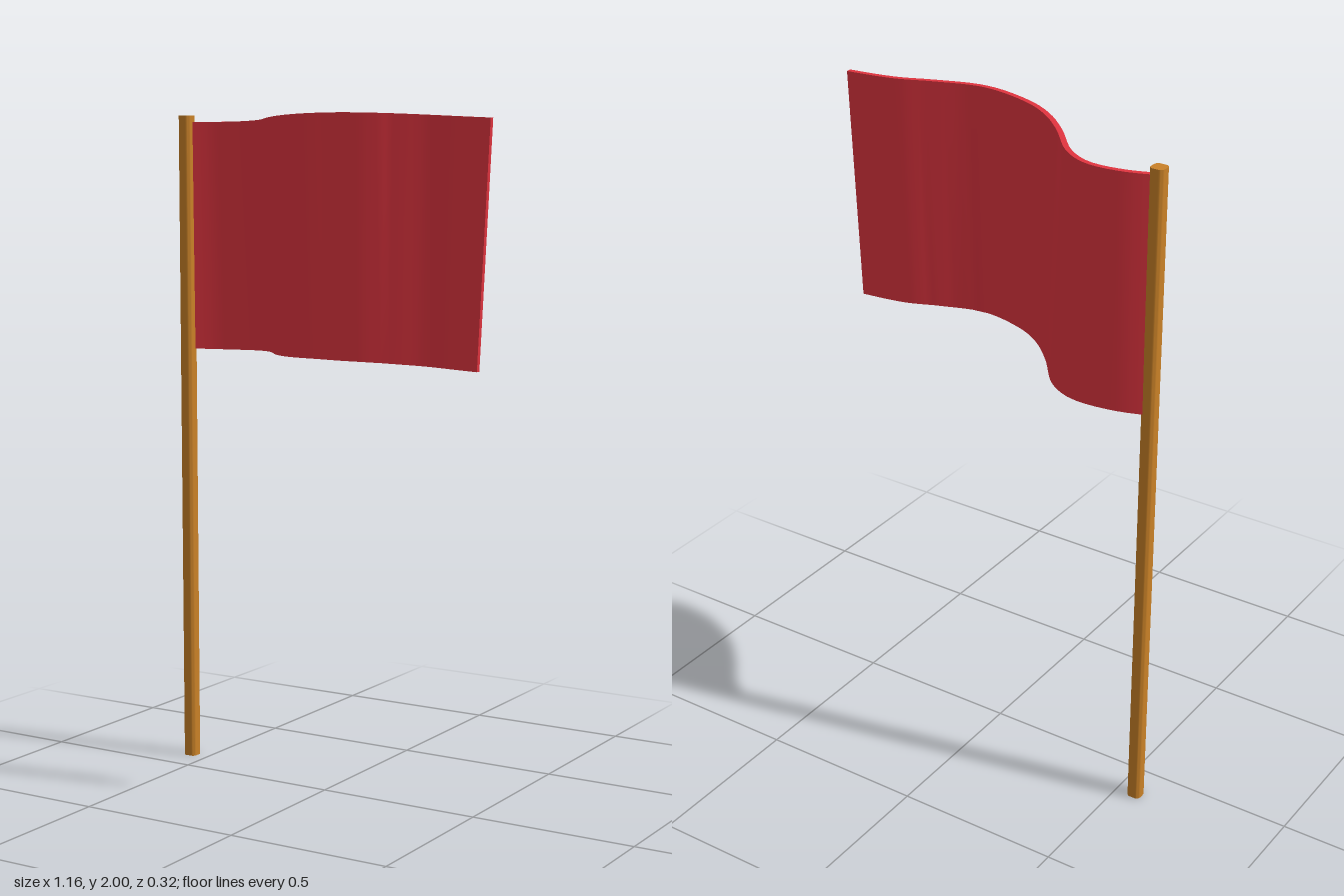
import * as THREE from 'three';
import { toCreasedNormals } from 'three/addons/utils/BufferGeometryUtils.js';

const POLE_X = -0.56, POLE_Z = -0.11, POLE_HALF = 0.021, POLE_ROUND = 0.013;
const FLAG_TOP = 2.0, FLAG_HEIGHT = 0.69, FLAG_THICKNESS = 0.016;

// Extrude a plan outline (x, -z) upwards along y
function extrudeUp(shape, height, curveSegments = 4) {
  const geometry = new THREE.ExtrudeGeometry(shape, { depth: height, bevelEnabled: false, curveSegments });
  return geometry.rotateX(-Math.PI / 2);
}

// Square pole with rounded corners
function createPole() {
  const h = POLE_HALF, r = POLE_ROUND, c = h - r;
  const shape = new THREE.Shape();
  shape.absarc(c, c, r, 0, Math.PI / 2);
  shape.absarc(-c, c, r, Math.PI / 2, Math.PI);
  shape.absarc(-c, -c, r, Math.PI, Math.PI * 1.5);
  shape.absarc(c, -c, r, Math.PI * 1.5, Math.PI * 2);
  const geometry = toCreasedNormals(extrudeUp(shape, 2, 3), 0.7);
  const pole = new THREE.Mesh(geometry, new THREE.MeshStandardMaterial({ color: 0xc98127 }));
  pole.name = 'pole';
  pole.position.set(POLE_X, 0, POLE_Z);
  return pole;
}

// Thin waving cloth: a ribbon outline around a plan curve, then draped
function createFlag() {
  const path = new THREE.SplineCurve([
    [-0.555, -0.113], [-0.48, -0.138], [-0.4, -0.15], [-0.34, -0.14], [-0.275, -0.098],
    [-0.19, -0.003], [-0.1, 0.073], [0, 0.119], [0.15, 0.145], [0.3, 0.114], [0.42, 0.085], [0.577, 0.079],
  ].map(([x, z]) => new THREE.Vector2(x, -z)));

  const front = [], back = [], segments = 48;
  for (let i = 0; i <= segments; i++) {
    const p = path.getPointAt(i / segments), t = path.getTangentAt(i / segments);
    const side = new THREE.Vector2(-t.y, t.x).multiplyScalar(FLAG_THICKNESS / 2);
    front.push(p.clone().sub(side));
    back.unshift(p.clone().add(side));
  }
  const geometry = extrudeUp(new THREE.Shape([...front, ...back]), FLAG_HEIGHT);

  // The lower edge draws in slightly and the cloth crests past its middle
  const pos = geometry.attributes.position;
  for (let i = 0; i < pos.count; i++) {
    const x = pos.getX(i), y = pos.getY(i), z = pos.getZ(i);
    const low = 1 - y / FLAG_HEIGHT;
    const free = THREE.MathUtils.smoothstep(x, -0.55, -0.25);
    const drop = 0.01 * (1 - Math.cos(Math.PI * (x - 0.12) / 0.62));
    pos.setXYZ(i,
      x - 0.078 * (x - 0.1) * free * low,
      FLAG_TOP - FLAG_HEIGHT + y - drop,
      z - 0.006 * low);
  }
  const flag = new THREE.Mesh(
    toCreasedNormals(geometry, 0.6),
    new THREE.MeshStandardMaterial({ color: 0xe0343f }));
  flag.name = 'flagCloth';
  return flag;
}

export function createModel() {
  const group = new THREE.Group();
  group.name = 'flag';
  group.add(createPole(), createFlag());
  return group;
}
